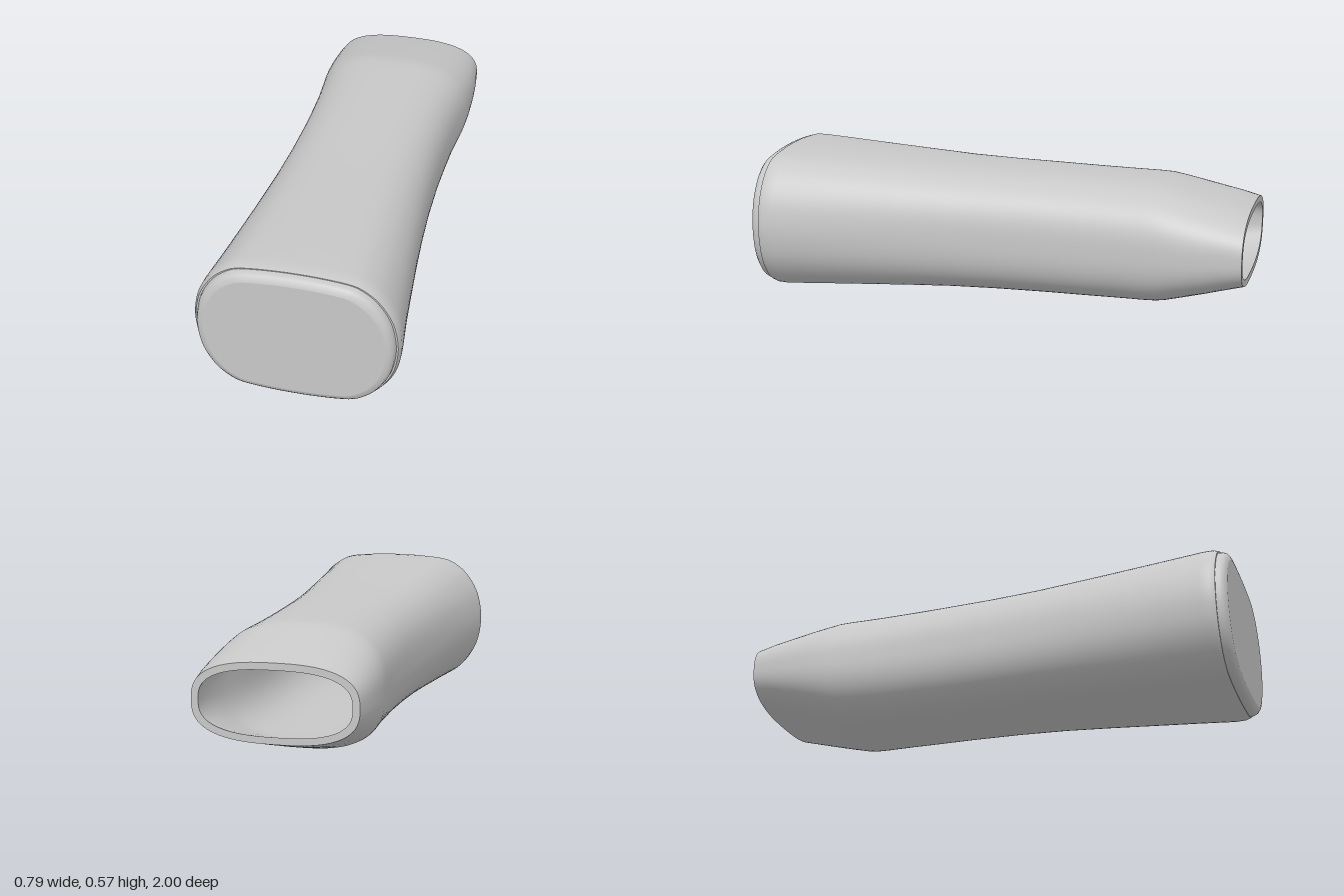
import * as THREE from 'three';

// Quarter outline of the front cross-section, scaled to half width and half height
const QUARTER = [[1, 0], [0.985, 0.22], [0.948, 0.42], [0.88, 0.605], [0.77, 0.79], [0.61, 0.93], [0.5, 0.962], [0.25, 0.991], [0, 1]];

// Full outline, mirrored from the quarter and smoothed
function outline(count) {
  const q = QUARTER.slice(0, -1);
  const up = QUARTER.slice(1).reverse();
  const pts = [
    ...q,
    ...up.map(([x, y]) => [-x, y]),
    ...q.map(([x, y]) => [-x, -y]),
    ...up.map(([x, y]) => [x, -y]),
  ].map(([x, y]) => new THREE.Vector3(x, y, 0));
  return new THREE.CatmullRomCurve3(pts, true).getSpacedPoints(count).slice(0, count);
}

const SIDES = 96;
const RING = outline(SIDES);

// Softer oval outline, point for point in the same directions
const POWER = 2.7;
const OVAL = RING.map(p => p.clone().multiplyScalar(
  (Math.abs(p.x) ** POWER + Math.abs(p.y) ** POWER) ** (-1 / POWER)));

// Points of one station [z, halfWidth, top, bottom]; the section softens away from the front
function section([z, w, top, bottom]) {
  const soft = Math.min(1, Math.abs(z - 0.95));
  return RING.map((p, i) => {
    const q = p.clone().lerp(OVAL[i], soft);
    return new THREE.Vector3(q.x * w, (top + bottom) / 2 + q.y * (top - bottom) / 2, z);
  });
}

// Loft through stations running front to back
function loft(stations, inward = false) {
  const idx = [];
  for (let s = 0; s < stations.length - 1; s++) {
    for (let i = 0; i < SIDES; i++) {
      const a = s * SIDES + i, b = s * SIDES + (i + 1) % SIDES;
      const c = a + SIDES, d = b + SIDES;
      if (inward) idx.push(a, b, c, b, d, c);
      else idx.push(a, c, b, b, c, d);
    }
  }
  const g = new THREE.BufferGeometry().setFromPoints(stations.flatMap(section));
  g.setIndex(idx);
  g.computeVertexNormals();
  return g;
}

// Flat disc with the outline of one station
function disc(station, facesBack) {
  const g = new THREE.ShapeGeometry(new THREE.Shape(section(station).map(p => new THREE.Vector2(p.x, p.y))));
  if (facesBack) g.rotateY(Math.PI);
  return g.translate(0, 0, station[0]);
}

// Outer body from the flared front to the tapered open back
const BODY = [
  [0.96, 0.384, 0.565, 0.009], [0.94, 0.394, 0.57, 0.004], [0.9, 0.391, 0.572, 0.001],
  [0.75, 0.372, 0.567, 0.008], [0.6, 0.356, 0.561, 0.015], [0.4, 0.336, 0.553, 0.025],
  [0.2, 0.319, 0.545, 0.034], [0, 0.307, 0.542, 0.038], [-0.2, 0.302, 0.54, 0.041],
  [-0.35, 0.304, 0.537, 0.043], [-0.48, 0.308, 0.535, 0.046], [-0.6, 0.317, 0.533, 0.049],
  [-0.65, 0.322, 0.53, 0.052], [-0.69, 0.325, 0.522, 0.06], [-0.76, 0.328, 0.506, 0.08],
  [-0.85, 0.327, 0.485, 0.106], [-0.93, 0.322, 0.467, 0.13], [-1, 0.314, 0.448, 0.15],
];

// Rounded end cap, set slightly in from the body
const CAP = [
  [1, 0.345, 0.531, 0.043], [0.996, 0.36, 0.545, 0.029], [0.987, 0.37, 0.555, 0.019],
  [0.975, 0.375, 0.56, 0.014], [0.96, 0.377, 0.562, 0.012],
];

export function createModel() {
  const grey = new THREE.MeshStandardMaterial({ color: 0xc8c8c8 });
  grey.name = 'grey';
  const group = new THREE.Group();
  group.name = 'grip';
  const add = (name, geometry) => {
    const mesh = new THREE.Mesh(geometry, grey);
    mesh.name = name;
    group.add(mesh);
  };

  const WALL = 0.027;
  const inner = BODY.slice(2).map(([z, w, t, b]) => [z, w - WALL, t - WALL, b + WALL]);

  add('body', loft(BODY));
  add('frontLip', loft([CAP.at(-1), BODY[0]]));
  add('capEdge', loft(CAP));
  add('capFace', disc(CAP[0], false));

  // Hollow inside, its end wall and the rim of the opening
  add('innerWall', loft(inner, true));
  add('innerEnd', disc(inner[0], true));
  add('backRim', loft([BODY.at(-1), inner.at(-1)]));
  return group;
}
